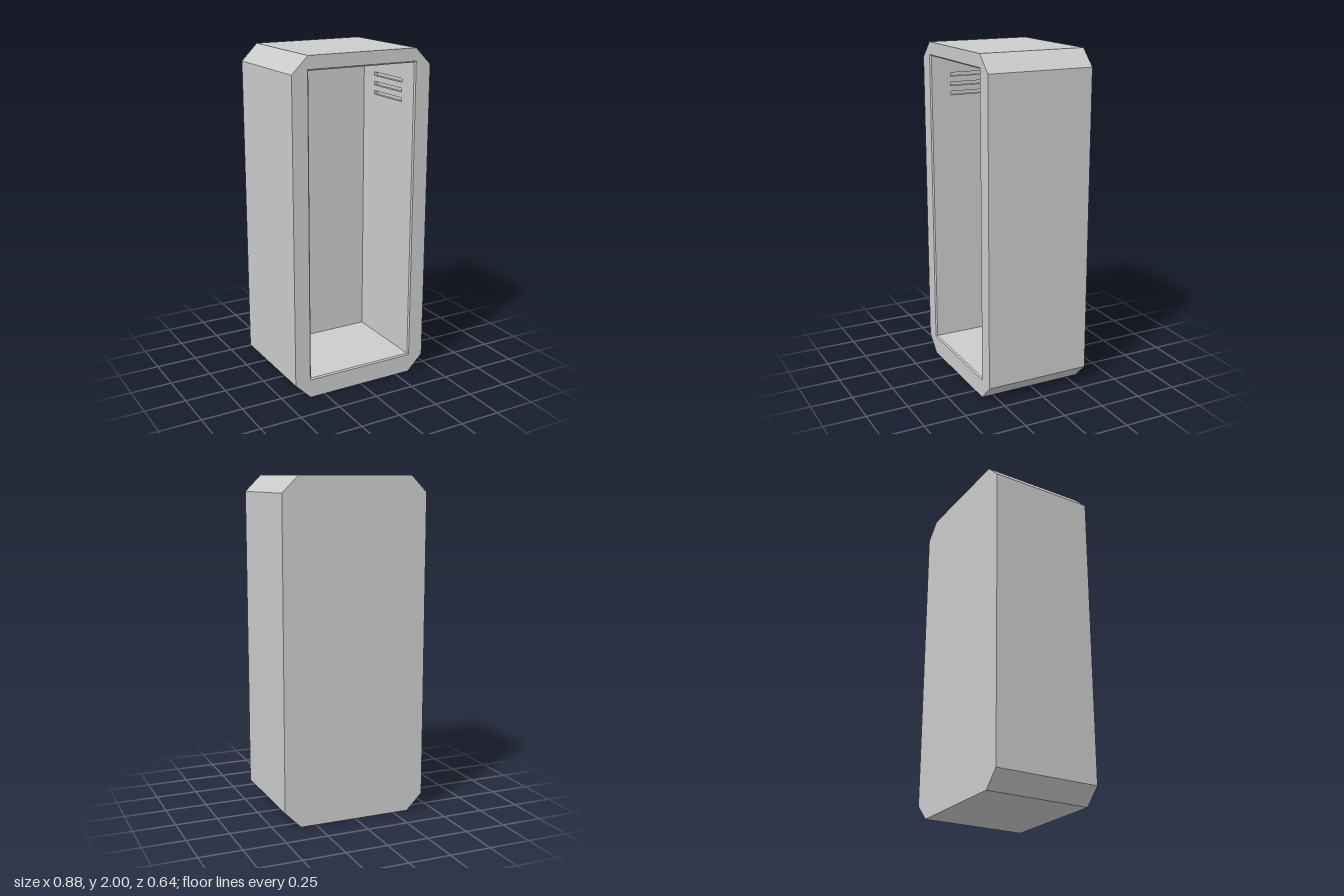
import * as THREE from 'three';

const material = new THREE.MeshStandardMaterial({ color: 0xcccccc, flatShading: true });
const V = (x, y) => new THREE.Vector2(x, y);

// counter-clockwise rectangle
const rect = (x0, y0, x1, y1) => [V(x0, y0), V(x1, y0), V(x1, y1), V(x0, y1)];

// walls joining two matching loops; a reversed loop faces inwards
function loft(back, zBack, front, zFront) {
  const pos = [];
  back.forEach((p, i) => {
    const j = (i + 1) % back.length, q = back[j], r = front[j], s = front[i];
    const c = [[p.x, p.y, zBack], [q.x, q.y, zBack], [r.x, r.y, zFront], [s.x, s.y, zFront]];
    for (const k of [0, 1, 2, 0, 2, 3]) pos.push(...c[k]);
  });
  const g = new THREE.BufferGeometry();
  g.setAttribute('position', new THREE.Float32BufferAttribute(pos, 3));
  g.computeVertexNormals();
  return g;
}

// flat plate facing +z with holes
function plate(outline, holes = []) {
  const shape = new THREE.Shape(outline);
  holes.forEach(h => shape.holes.push(new THREE.Path(h)));
  return new THREE.ShapeGeometry(shape);
}

function add(parent, name, geometry) {
  const mesh = new THREE.Mesh(geometry, material);
  mesh.name = name;
  parent.add(mesh);
  return mesh;
}

export function createModel() {
  const model = new THREE.Group();
  model.name = 'cabinet';

  const W = 0.44, H = 2, D = 0.32, C = 0.097;       // outer half width, height, half depth, corner cut
  const w = 0.337, y0 = 0.12, y1 = 1.918;           // recess
  const zBack = -0.23, zLip = 0.312, lip = 0.008;

  const octagon = [
    V(-W + C, 0), V(W - C, 0), V(W, C), V(W, H - C),
    V(W - C, H), V(-W + C, H), V(-W, H - C), V(-W, C),
  ];
  const opening = rect(-w - lip, y0 - lip, w + lip, y1 + lip);
  const inner = rect(-w, y0, w, y1);

  // outer casing
  add(model, 'outerShell', loft(octagon, -D, octagon, D));
  add(model, 'frontFrame', plate(octagon, [opening])).position.z = D;
  const back = add(model, 'backPanel', plate(octagon));
  back.rotation.y = Math.PI;
  back.position.z = -D;

  // bevelled edge of the opening
  add(model, 'openingBevel', loft([...inner].reverse(), zLip, [...opening].reverse(), D));

  // recess
  const depth = zLip - zBack, zMid = (zLip + zBack) / 2;
  add(model, 'recessBack', plate(inner)).position.z = zBack;
  for (const [name, y, turn] of [['recessFloor', y0, -1], ['recessCeiling', y1, 1]]) {
    const m = add(model, name, new THREE.PlaneGeometry(2 * w, depth));
    m.rotation.x = turn * Math.PI / 2;
    m.position.set(0, y, zMid);
  }

  // side walls with three shallow vent slots near the top
  const slots = [1.80, 1.743, 1.687].map(y => rect(-0.149, y - 0.011, 0.149, y + 0.011));
  for (const side of [-1, 1]) {
    const wall = new THREE.Group();
    wall.name = side > 0 ? 'leftWall' : 'rightWall';
    wall.position.set(side * w, 0, zMid);
    wall.rotation.y = -side * Math.PI / 2;
    add(wall, 'wallPanel', plate(rect(-depth / 2, y0, depth / 2, y1), slots));
    for (const slot of slots) {
      const rim = [...slot].reverse();
      add(wall, 'ventSlotSides', loft(rim, -0.02, rim, 0));
      add(wall, 'ventSlotBack', plate(slot)).position.z = -0.02;
    }
    model.add(wall);
  }
  return model;
}
